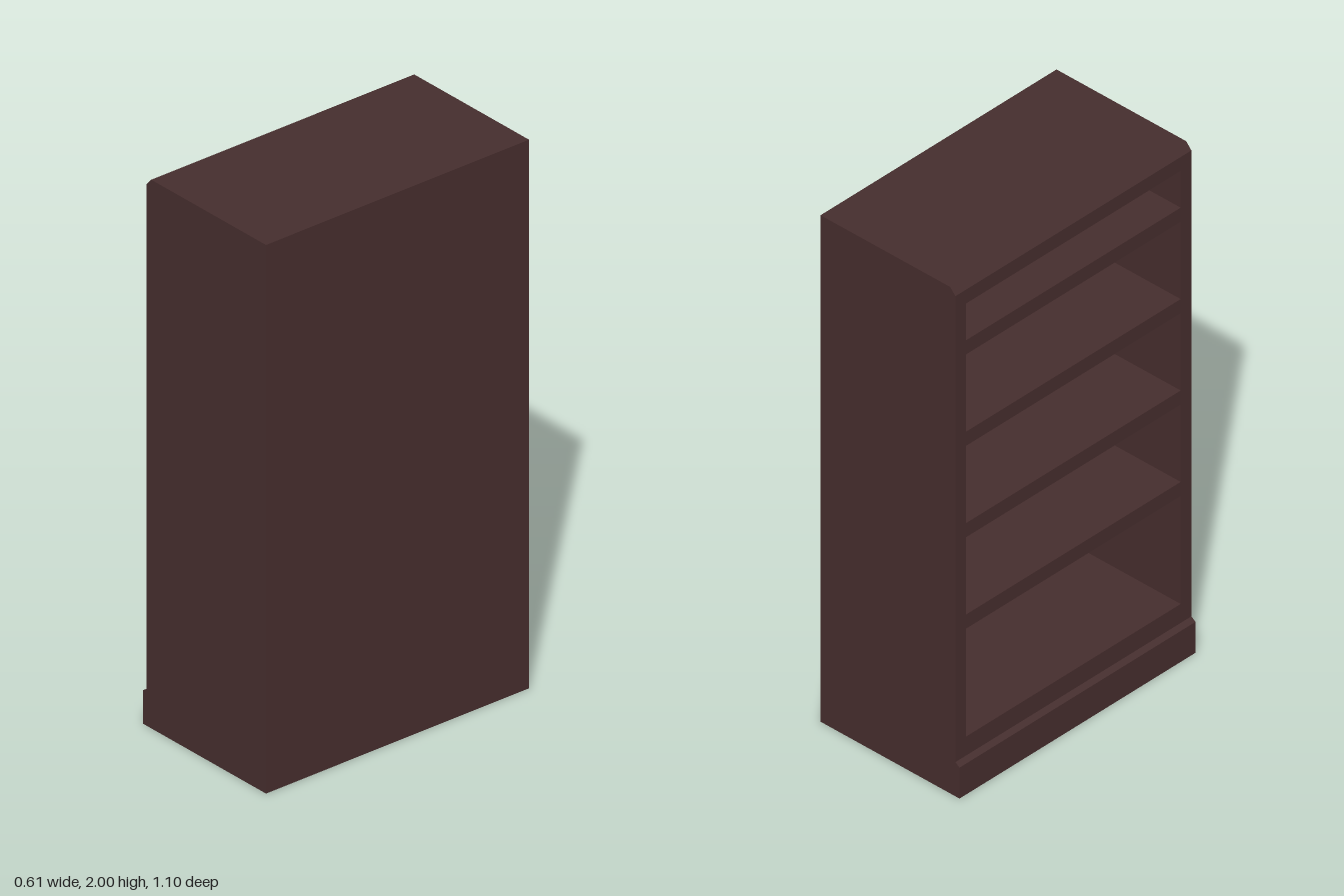
import * as THREE from 'three';

const BACK = 0.305, FACE = -0.29, PLINTH = -0.308; // x planes; the open face looks to -x
const HALF = 0.55, PANEL = 0.05;                   // half width in z, panel thickness
const FLOOR = 0.21, CEILING = 1.92;                // top of the base, underside of the top

export function createModel() {
  const group = new THREE.Group();
  group.name = 'bookcase';
  const wood = new THREE.MeshStandardMaterial({ color: 0x452d2d });
  wood.name = 'dark brown wood';

  const add = (name, geometry, x = 0, y = 0, z = 0) => {
    const mesh = new THREE.Mesh(geometry, wood);
    mesh.name = name;
    mesh.position.set(x, y, z);
    group.add(mesh);
  };
  // An x-y outline extruded along z from z0
  const slab = (name, points, z0, depth) => {
    const shape = new THREE.Shape(points.map(([x, y]) => new THREE.Vector2(x, y)));
    add(name, new THREE.ExtrudeGeometry(shape, { depth, bevelEnabled: false }), 0, 0, z0);
  };

  // Stepped plinth and chamfered top edge shared by the sides, base and top
  const plinthEdge = [[PLINTH, 0], [PLINTH, 0.122], [FACE, 0.135]];
  const topEdge = [[FACE, 1.975], [-0.267, 2]];
  const inner = HALF - PANEL;

  // Side panels
  const sideOutline = [...plinthEdge, ...topEdge, [BACK, 2], [BACK, 0]];
  slab('leftSide', sideOutline, inner, PANEL);
  slab('rightSide', sideOutline, -HALF, PANEL);

  // Base and top
  slab('base', [...plinthEdge, [FACE, FLOOR], [BACK, FLOOR], [BACK, 0]], -inner, inner * 2);
  slab('top', [[FACE, CEILING], ...topEdge, [BACK, 2], [BACK, CEILING]], -inner, inner * 2);

  // Back panel
  const height = CEILING - FLOOR;
  add('backPanel', new THREE.BoxGeometry(PANEL, height, inner * 2),
    BACK - PANEL / 2, FLOOR + height / 2, 0);

  // Shelves, flush with the open face
  const depth = BACK - PANEL - FACE;
  for (let i = 0; i < 4; i++) {
    add(`shelf${i + 1}`, new THREE.BoxGeometry(depth, 0.056, inner * 2),
      FACE + depth / 2, 0.664 + i * 0.361, 0);
  }
  return group;
}
